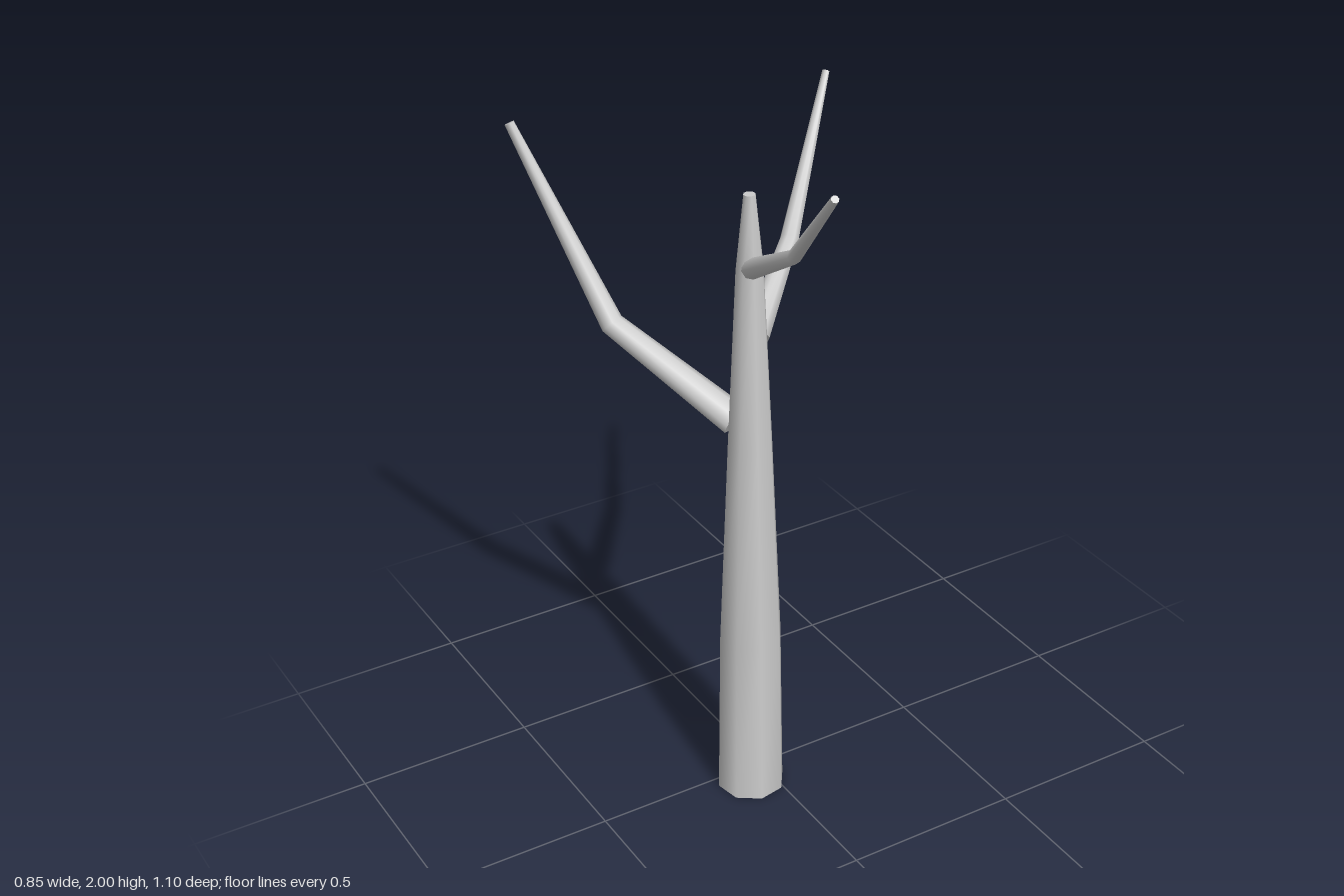
import * as THREE from 'three';

const SIDES = 8;

// Tapered limb swept along a few centre points [x, y, z, radius], capped at both ends
function limbGeometry(points, ref, twist = 0) {
  const centres = points.map(p => new THREE.Vector3(p[0], p[1], p[2]));
  const dirs = centres.slice(1).map((c, i) => c.clone().sub(centres[i]).normalize());
  const last = centres.length - 1;
  const rings = centres.map((c, i) => {
    const t = dirs[Math.max(i - 1, 0)].clone().add(dirs[Math.min(i, last - 1)]).normalize();
    const u = t.clone().cross(ref).normalize();
    const v = t.clone().cross(u);
    return Array.from({ length: SIDES }, (_, j) => {
      const a = twist + (j / SIDES) * Math.PI * 2;
      return c.clone()
        .addScaledVector(u, Math.cos(a) * points[i][3])
        .addScaledVector(v, Math.sin(a) * points[i][3]);
    });
  });

  const verts = rings.flat();
  const index = [];
  // smooth side walls
  for (let i = 0; i < last; i++) {
    for (let j = 0; j < SIDES; j++) {
      const k = (j + 1) % SIDES;
      const a = i * SIDES + j, b = i * SIDES + k;
      index.push(a, b, b + SIDES, a, b + SIDES, a + SIDES);
    }
  }
  // flat end caps with their own vertices
  for (const end of [0, last]) {
    const base = verts.length;
    verts.push(...rings[end]);
    for (let j = 1; j < SIDES - 1; j++) {
      if (end === 0) index.push(base, base + j + 1, base + j);
      else index.push(base, base + j, base + j + 1);
    }
  }
  const geometry = new THREE.BufferGeometry().setFromPoints(verts);
  geometry.setIndex(index);
  geometry.computeVertexNormals();
  return geometry;
}

export function createModel() {
  const group = new THREE.Group();
  group.name = 'bareTree';
  const bark = new THREE.MeshStandardMaterial({ color: 0xcccccc });
  bark.name = 'pale grey bark';

  const up = new THREE.Vector3(0, 1, 0);
  const front = new THREE.Vector3(0, 0, 1);

  const add = (name, points, ref, twist) => {
    const mesh = new THREE.Mesh(limbGeometry(points, ref, twist), bark);
    mesh.name = name;
    group.add(mesh);
  };

  // Trunk tapering to a narrow capped top
  add('trunk', [
    [-0.06, 0, 0.05, 0.095],
    [-0.06, 0.5, 0.05, 0.087],
    [-0.06, 1.1, 0.05, 0.061],
    [-0.06, 1.6, 0.05, 0.037],
    [-0.06, 1.8, 0.05, 0.016],
  ], front, -0.21);

  // Three branches, each with one elbow
  add('lowerBranch', [
    [-0.08, 1.155, 0.01, 0.044],
    [-0.262, 1.343, -0.31, 0.032],
    [-0.415, 1.855, -0.54, 0.013],
  ], up);
  add('middleBranch', [
    [-0.03, 1.395, 0.03, 0.037],
    [0.18, 1.543, -0.145, 0.025],
    [0.418, 1.89, -0.348, 0.01],
  ], up);
  add('upperBranch', [
    [-0.068, 1.608, 0.07, 0.027],
    [-0.095, 1.745, 0.31, 0.018],
    [-0.138, 1.993, 0.545, 0.01],
  ], up);

  return group;
}
